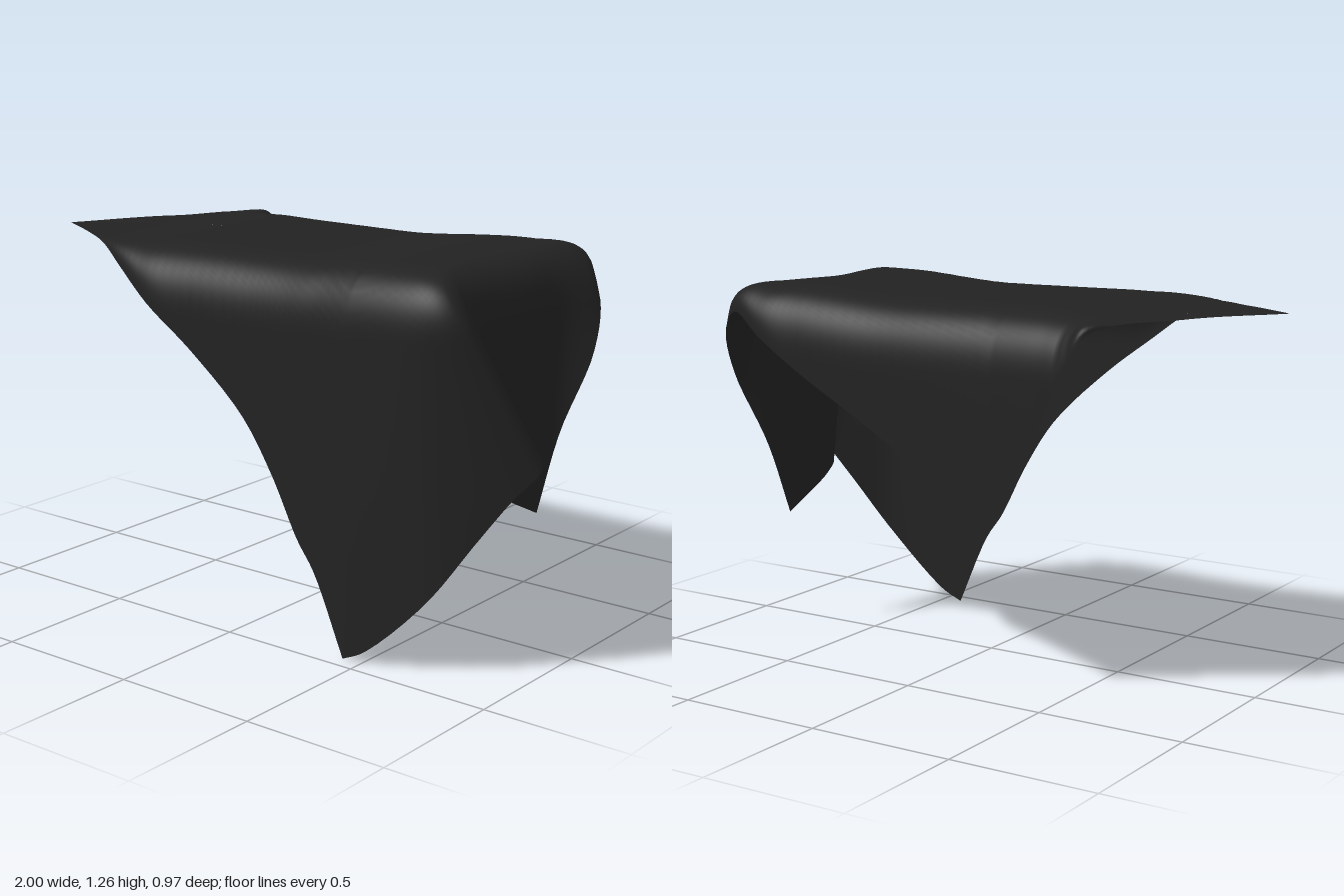
import * as THREE from 'three';

const { smoothstep, clamp } = THREE.MathUtils;
const PER_EDGE = 48; // stations along each hem
const ROWS = 44; // steps from the ridge line to the hem

// Hems of the four-cornered cloth, corner to corner: left tip, front, right, back.
// "rim" gives the x, z where each hem point's cloth leaves the flat top;
// without it the cloth simply hangs straight down.
const hems = [
  {
    points: [
      [-1, 1.21, 0.18], [-0.8, 1.212, 0.29], [-0.63, 1.205, 0.39], [-0.5, 1.15, 0.45],
      [-0.35, 1.05, 0.485], [-0.18, 0.92, 0.47], [0.02, 0.73, 0.45], [0.14, 0.55, 0.445],
      [0.24, 0.36, 0.445], [0.31, 0.26, 0.445], [0.43, 0, 0.45],
    ],
  },
  {
    // this hem passes round the standing fold at the front corner
    points: [
      [0.43, 0, 0.45], [0.51, 0.04, 0.445], [0.73, 0.25, 0.42], [0.86, 0.45, 0.35],
      [0.95, 0.59, 0.29], [1.0, 0.67, 0.215], [0.95, 0.685, 0.15], [0.87, 0.655, 0.155],
      [0.8, 0.56, 0.165], [0.775, 0.52, 0.1], [0.78, 0.41, -0.12],
    ],
    rim: [
      [0.43, 0.45], [0.49, 0.45], [0.62, 0.45], [0.7, 0.445], [0.74, 0.43], [0.76, 0.41],
      [0.77, 0.38], [0.775, 0.34], [0.78, 0.26], [0.78, 0.15], [0.78, -0.12],
    ],
  },
  {
    points: [
      [0.78, 0.41, -0.12], [0.81, 0.67, -0.2], [0.865, 0.92, -0.3], [0.835, 1.08, -0.38],
      [0.74, 1.165, -0.44], [0.6, 1.09, -0.485], [0.45, 0.99, -0.48], [0.2, 0.84, -0.46],
      [-0.03, 0.7, -0.455], [-0.28, 0.55, -0.45],
    ],
  },
  {
    points: [
      [-0.28, 0.55, -0.45], [-0.45, 0.86, -0.46], [-0.56, 1.07, -0.47],
      [-0.63, 1.185, -0.455], [-0.8, 1.212, -0.15], [-1, 1.21, 0.18],
    ],
  },
];

// Height of the flat top, rising gently towards the right end
const topHeight = (x) => 1.21 + 0.025 * smoothstep(x, -0.75, -0.4) + 0.025 * smoothstep(x, 0.1, 0.55);

const smoothCurve = (pts) => new THREE.CatmullRomCurve3(pts.map((p) => new THREE.Vector3(...p)));

// One strip: across the top, over a rounded shoulder, down to the hem
function strip(hem, rim) {
  const ridgeX = clamp(rim.x, -0.75, 0.45);
  const ridge = new THREE.Vector3(ridgeX, topHeight(ridgeX), 0);
  const drop = rim.distanceTo(hem);
  const reach = ridge.distanceTo(rim);
  const before = rim.clone().lerp(ridge, Math.min(0.2, drop * 1.5, reach * 0.9) / reach);
  const after = rim.clone().lerp(hem, drop > 0 ? Math.min(0.2, drop * 0.9) / drop : 0);
  const path = new THREE.CurvePath();
  path.add(new THREE.LineCurve3(ridge, before));
  path.add(new THREE.QuadraticBezierCurve3(before, rim, after));
  path.add(new THREE.LineCurve3(after, hem));
  return path.getSpacedPoints(ROWS);
}

function clothGeometry() {
  const positions = [];
  for (const { points, rim } of hems) {
    const hemCurve = smoothCurve(points);
    const rimCurve = rim && smoothCurve(rim.map(([x, z]) => [x, 0, z]));
    for (let k = 0; k < PER_EDGE; k++) {
      const hem = hemCurve.getPoint(k / PER_EDGE);
      const over = rimCurve
        ? rimCurve.getPoint(k / PER_EDGE)
        : new THREE.Vector3(Math.min(hem.x, 0.78), 0, hem.z);
      over.y = Math.max(topHeight(over.x), hem.y);
      for (const p of strip(hem, over)) positions.push(p.x, p.y, p.z);
    }
  }

  const index = [];
  const stations = hems.length * PER_EDGE;
  const width = ROWS + 1;
  for (let i = 0; i < stations; i++) {
    const next = (i + 1) % stations;
    for (let j = 0; j < ROWS; j++) {
      const a = i * width + j;
      const d = next * width + j;
      index.push(a, a + 1, d + 1, a, d + 1, d);
    }
  }
  const geometry = new THREE.BufferGeometry();
  geometry.setAttribute('position', new THREE.Float32BufferAttribute(positions, 3));
  geometry.setIndex(index);
  geometry.computeVertexNormals();
  return geometry;
}

export function createModel() {
  const group = new THREE.Group();
  group.name = 'drapedCloth';
  const material = new THREE.MeshStandardMaterial({ color: 0x222222, side: THREE.DoubleSide });
  const cloth = new THREE.Mesh(clothGeometry(), material);
  cloth.name = 'cloth';
  group.add(cloth);
  return group;
}
